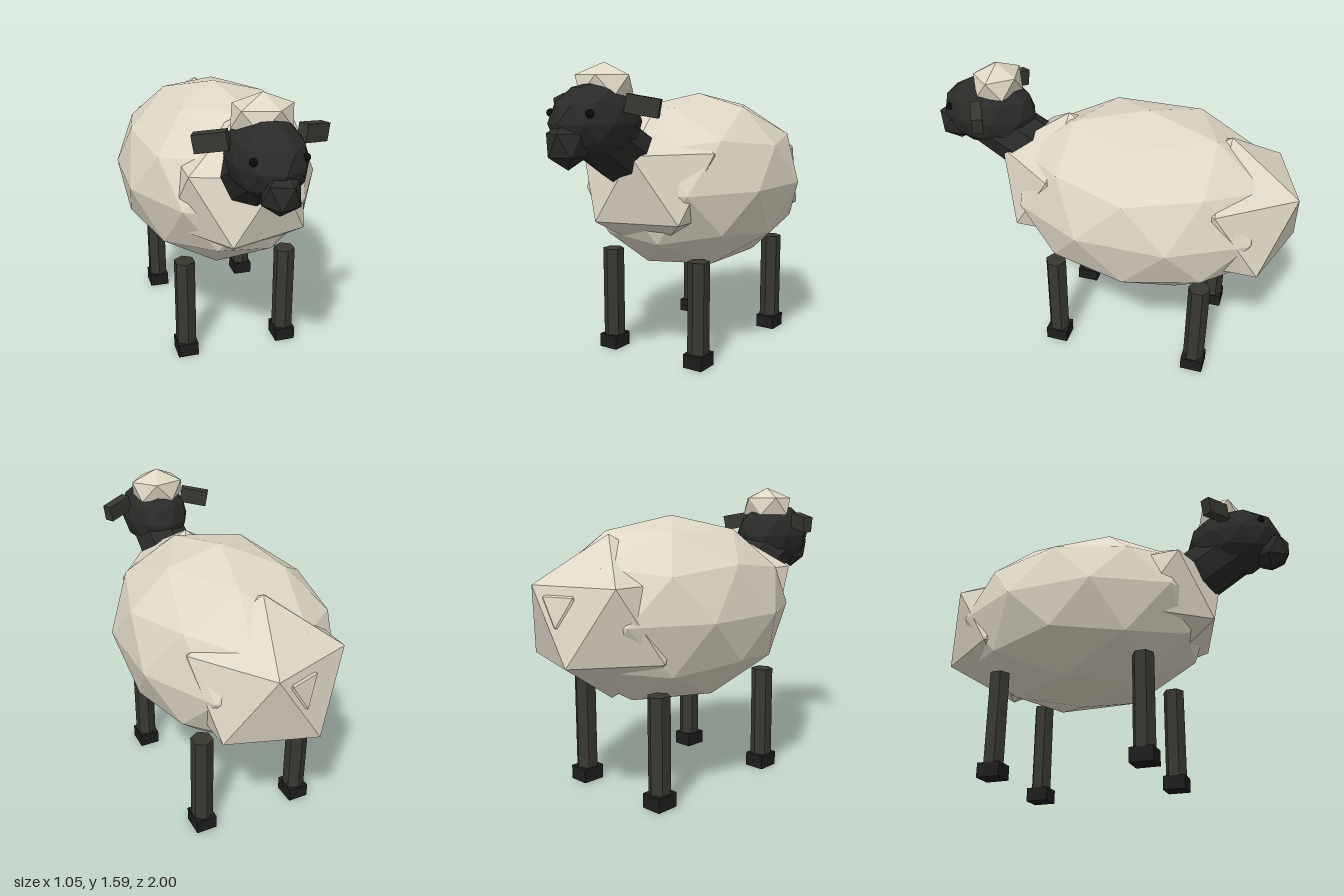
import * as THREE from 'three';

const flat = (name, color) => {
  const m = new THREE.MeshStandardMaterial({ color, flatShading: true });
  m.name = name;
  return m;
};

export function createModel() {
  const wool = flat('wool', 0xded7c5);
  const face = flat('dark face', 0x2a2b28);
  const limb = flat('dark limb', 0x383831);
  const hoofMat = flat('hoof', 0x1d1d1e);
  const eyeMat = flat('eye', 0x0b0b0b);

  const group = new THREE.Group();
  group.name = 'sheep';

  const add = (name, geometry, material, position) => {
    const mesh = new THREE.Mesh(geometry, material);
    mesh.name = name;
    mesh.position.set(...position);
    group.add(mesh);
    return mesh;
  };

  // Faceted ball with a corner at the top and one upper corner towards +x
  const ball = (name, material, detail, radii, position) => {
    const g = new THREE.IcosahedronGeometry(1, detail);
    g.rotateX(-Math.atan((1 + Math.sqrt(5)) / 2));
    g.rotateY(Math.PI / 2);
    g.scale(...radii);
    return add(name, g, material, position);
  };

  // Fleece
  ball('body', wool, 1, [0.552, 0.498, 0.75], [0, 0.937, -0.193]);
  ball('chestWool', wool, 0, [0.42, 0.386, 0.411], [0, 0.968, 0.24]);
  ball('rumpWool', wool, 0, [0.435, 0.414, 0.438], [0, 0.935, -0.627]);
  ball('tail', wool, 0, [0.157, 0.157, 0.157], [0, 1.0, -0.86]);

  // Neck leaning forward out of the chest
  const neck = add('neck', new THREE.CylinderGeometry(0.15, 0.165, 0.5, 8), face, [0, 1.135, 0.49]);
  neck.rotation.x = Math.PI / 3;

  // Head
  ball('head', face, 1, [0.187, 0.193, 0.265], [0, 1.305, 0.7]);
  ball('snout', face, 0, [0.1, 0.118, 0.117], [0, 1.212, 0.9]);
  ball('headWool', wool, 0, [0.169, 0.11, 0.139], [0, 1.478, 0.638]);

  for (const s of [-1, 1]) {
    const side = s > 0 ? 'left' : 'right';

    ball(side + 'Eye', eyeMat, 1, [0.02, 0.02, 0.02], [s * 0.12, 1.353, 0.88]);

    // Ears point outwards, slightly down and back
    const ear = add(side + 'Ear', new THREE.BoxGeometry(0.16, 0.088, 0.055), limb, [s * 0.245, 1.385, 0.655]);
    ear.rotation.set(0, s * 0.48, -s * 0.17);

    // Legs and hooves
    for (const [end, z] of [['Front', 0.244], ['Back', -0.571]]) {
      add(side + end + 'Leg', new THREE.CylinderGeometry(0.059, 0.059, 0.51, 6), limb, [s * 0.286, 0.32, z]);
      add(side + end + 'Hoof', new THREE.BoxGeometry(0.113, 0.076, 0.124), hoofMat, [s * 0.286, 0.038, z]);
    }
  }

  return group;
}
